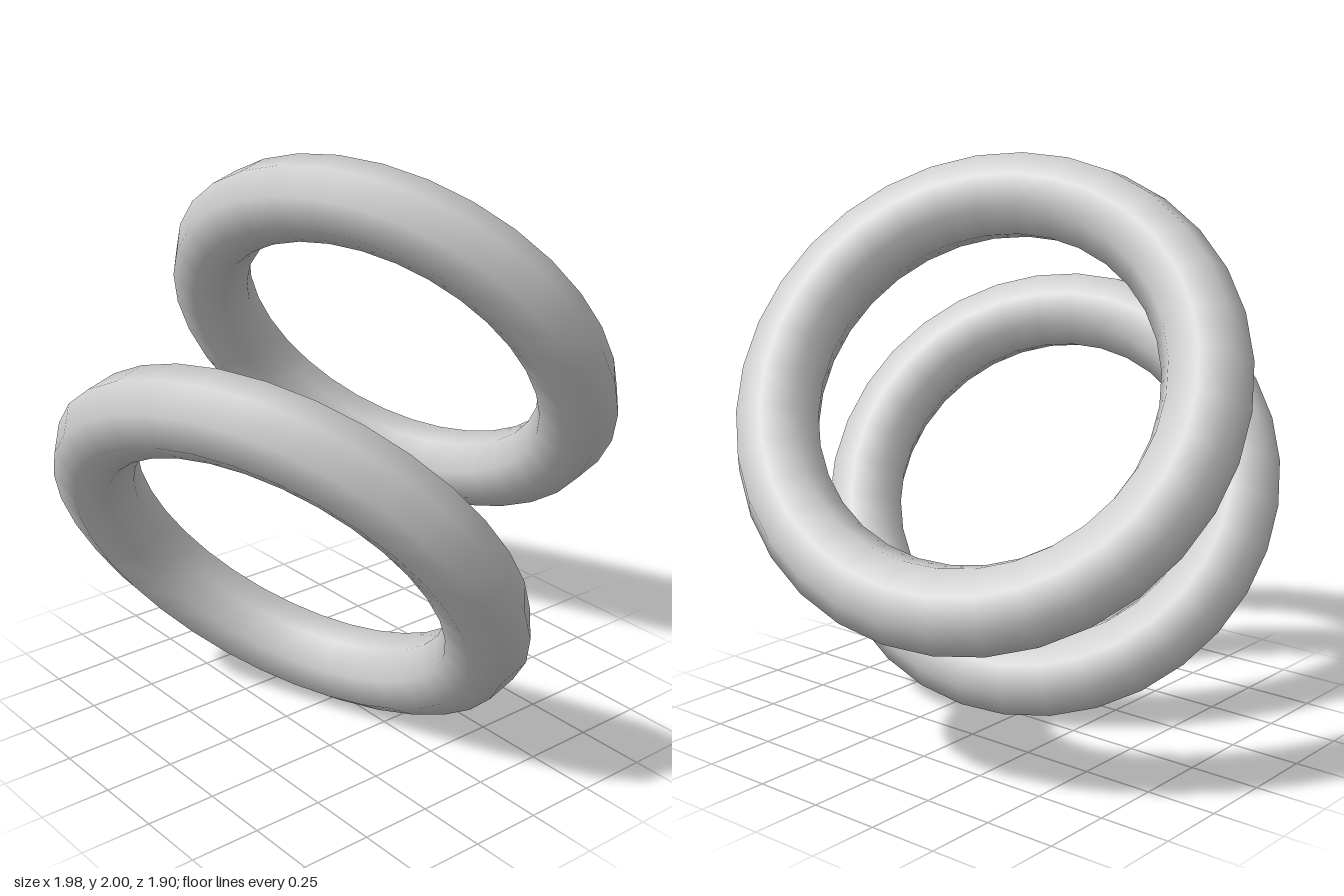
import * as THREE from 'three';

export function createModel() {
  const group = new THREE.Group();
  const material = new THREE.MeshStandardMaterial({ color: 0xcccccc });
  const geometry = new THREE.TorusGeometry(0.722, 0.146, 8, 32);

  // Two parallel rings, tilted forward and placed opposite each other about the centre
  for (const [name, side] of [['frontRing', 1], ['backRing', -1]]) {
    const ring = new THREE.Mesh(geometry, material);
    ring.name = name;
    ring.position.set(0.163 * side, 1 - 0.247 * side, 0.362 * side);
    ring.rotation.set(0.6, 0.3, 0);
    group.add(ring);
  }
  return group;
}
